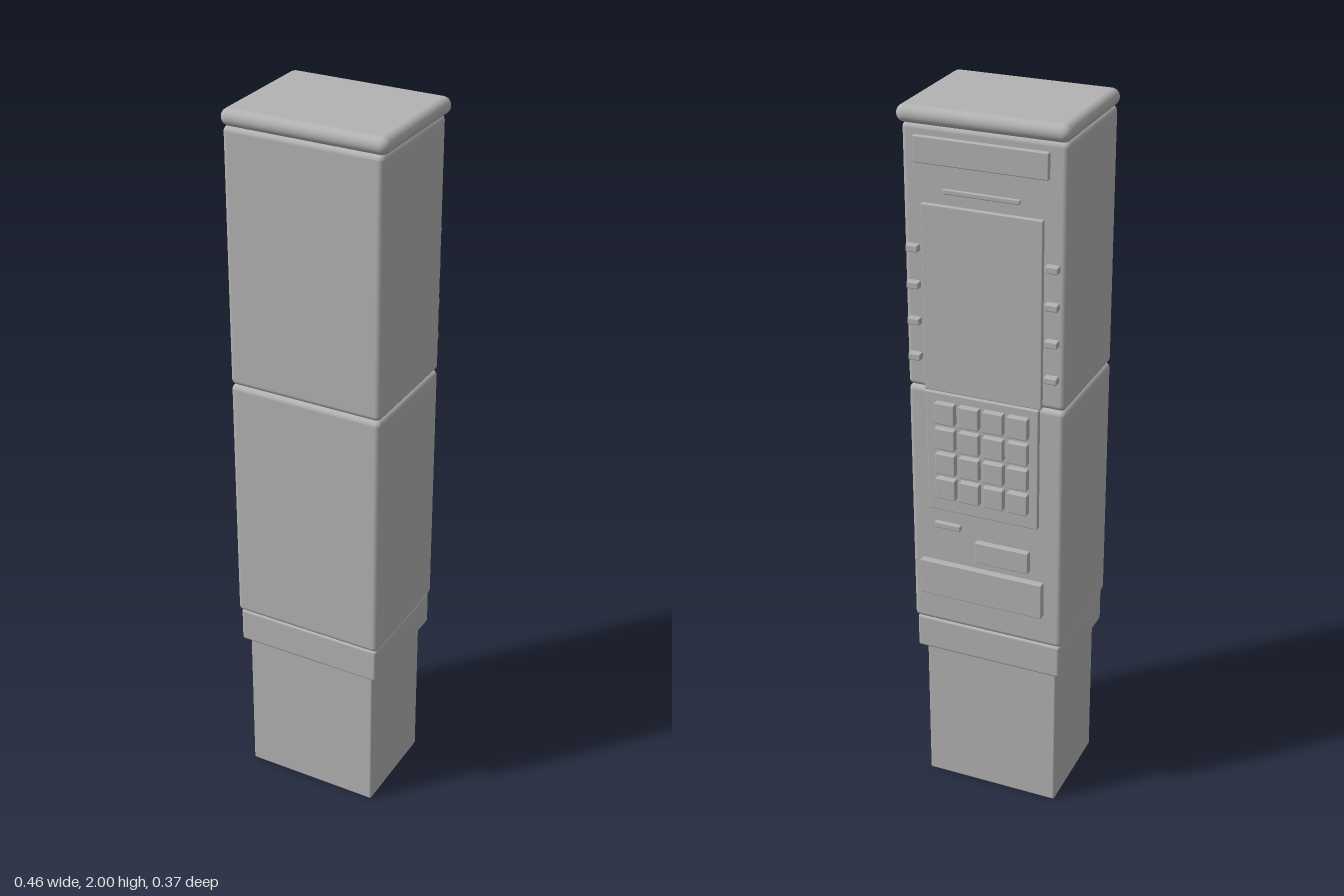
import * as THREE from 'three';
import { RoundedBoxGeometry } from 'three/addons/geometries/RoundedBoxGeometry.js';

export function createModel() {
  const model = new THREE.Group();
  model.name = 'cashMachine';
  const grey = new THREE.MeshStandardMaterial({ color: 0xb3b3b3 });
  grey.name = 'grey';

  // Rounded block given by its extents on each axis
  function block(name, [x0, x1], [y0, y1], [z0, z1], radius, parent = model, segments = 3) {
    const geometry = new RoundedBoxGeometry(x1 - x0, y1 - y0, z1 - z0, segments, radius);
    const mesh = new THREE.Mesh(geometry, grey);
    mesh.name = name;
    mesh.position.set((x0 + x1) / 2, (y0 + y1) / 2, (z0 + z1) / 2);
    parent.add(mesh);
    return mesh;
  }

  // Stacked cabinet
  block('base', [-0.198, 0.19], [0, 0.45], [-0.133, 0.155], 0.005);
  block('collar', [-0.215, 0.209], [0.44, 0.54], [-0.154, 0.174], 0.008);
  block('lowerCabinet', [-0.222, 0.215], [0.54, 1.255], [-0.159, 0.18], 0.015);
  block('upperCabinet', [-0.222, 0.215], [1.255, 1.957], [-0.159, 0.18], 0.015);
  block('cap', [-0.228, 0.227], [1.955, 2], [-0.173, 0.186], 0.0222, model, 5);

  // Control panel on the rear face
  const panel = new THREE.Group();
  panel.name = 'controlPanel';
  model.add(panel);
  const fit = (name, x, y, depth, radius = 0.003) =>
    block(name, x, y, [-depth, -0.15], radius, panel, 2);

  fit('signPlate', [-0.175, 0.18], [1.862, 1.93], 0.171);
  fit('receiptSlot', [-0.1, 0.105], [1.789, 1.802], 0.165);
  fit('screen', [-0.162, 0.162], [1.256, 1.76], 0.17);
  fit('keypadPlate', [-0.155, 0.158], [0.905, 1.252], 0.171);
  fit('cardSlot', [0.068, 0.142], [0.847, 0.864], 0.171);
  fit('receiptTray', [-0.13, 0.023], [0.765, 0.828], 0.175);
  fit('cashTray', [-0.17, 0.185], [0.635, 0.74], 0.177);

  // Four selection buttons on each side of the screen
  for (let i = 0; i < 4; i++) {
    const y = 1.64 - i * 0.0985;
    fit('selectButtonLeft', [0.17, 0.203], [y - 0.009, y + 0.009], 0.178);
    fit('selectButtonRight', [-0.205, -0.17], [y - 0.009, y + 0.009], 0.178);
  }

  // Four by four keypad
  for (let row = 0; row < 4; row++) {
    for (let col = 0; col < 4; col++) {
      const x = -0.131 + col * 0.068;
      const y = 1.23 - row * 0.0735;
      fit('key', [x, x + 0.056], [y - 0.06, y], 0.188);
    }
  }
  return model;
}
